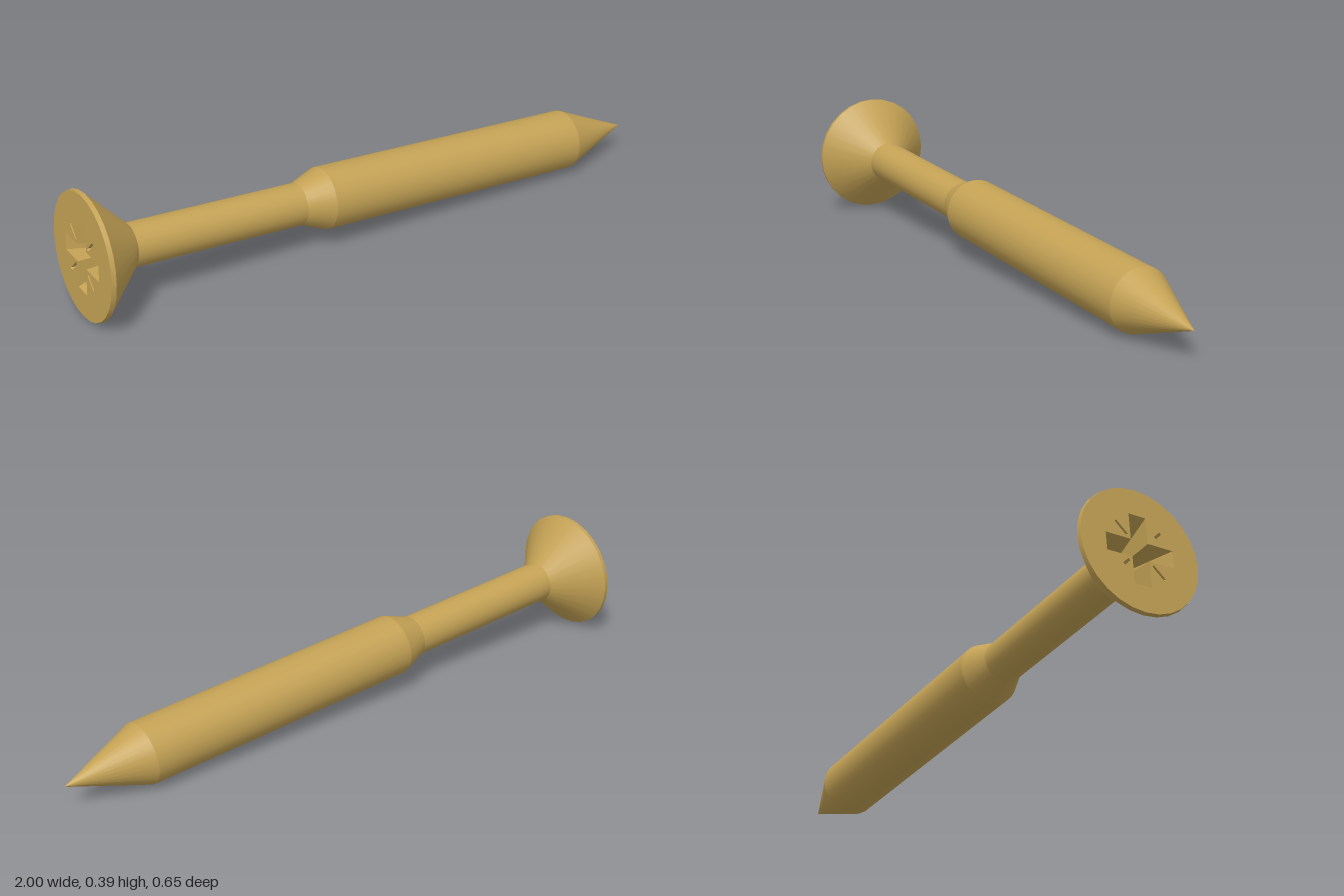
import * as THREE from 'three';

const SIDES = 28;
const brass = new THREE.MeshStandardMaterial({ color: 0xc4a255 });
brass.name = 'brass';

// Plus-shaped outline, counter-clockwise, with arm length l and half-width w
function crossOutline(l, w) {
  const arm = [[l, -w], [l, w], [w, w]];
  const points = [];
  for (let i = 0; i < 4; i++) {
    for (const [x, y] of arm) points.push(new THREE.Vector2(x, y).rotateAround(new THREE.Vector2(), i * Math.PI / 2));
  }
  return points;
}

// Thin diagonal marking between two arms
function slitOutline(i, shrink) {
  const angle = Math.PI / 4 + i * Math.PI / 2;
  const r0 = 0.055 + shrink, r1 = 0.105 - shrink, w = 0.004;
  return [[r0, -w], [r1, -w], [r1, w], [r0, w]].map(([x, y]) =>
    new THREE.Vector2(x, y).rotateAround(new THREE.Vector2(), angle));
}

// Inward-facing walls from an outline down to a smaller one, plus the floor
function pocket(name, top, bottom, depth) {
  const group = new THREE.Group();
  group.name = name;
  const pos = [];
  top.forEach((a, i) => {
    const j = (i + 1) % top.length;
    const b = top[j], c = bottom[i], d = bottom[j];
    pos.push(a.x, a.y, 0, b.x, b.y, 0, c.x, c.y, -depth);
    pos.push(b.x, b.y, 0, d.x, d.y, -depth, c.x, c.y, -depth);
  });
  const walls = new THREE.BufferGeometry();
  walls.setAttribute('position', new THREE.Float32BufferAttribute(pos, 3));
  walls.computeVertexNormals();
  const floor = new THREE.ShapeGeometry(new THREE.Shape(bottom)).translate(0, 0, -depth);
  group.add(new THREE.Mesh(walls, brass), new THREE.Mesh(floor, brass));
  group.children[0].name = name + 'Walls';
  group.children[1].name = name + 'Floor';
  return group;
}

export function createModel() {
  const model = new THREE.Group();
  model.name = 'screw';
  const screw = new THREE.Group();
  screw.name = 'screwBody';
  model.add(screw);

  // Turned sections along the axis: name, start, radius, end, radius
  const sections = [
    ['headRim', 0, 0.193, 0.014, 0.195],
    ['headCone', 0.014, 0.195, 0.146, 0.066],
    ['shank', 0.146, 0.066, 0.71, 0.066],
    ['shoulder', 0.71, 0.066, 0.795, 0.098],
    ['body', 0.795, 0.098, 1.748, 0.098],
    ['tip', 1.748, 0.098, 2.005, 0],
  ];
  for (const [name, y0, r0, y1, r1] of sections) {
    const profile = [new THREE.Vector2(r0, y0), new THREE.Vector2(r1, y1)];
    const mesh = new THREE.Mesh(new THREE.LatheGeometry(profile, SIDES), brass);
    mesh.name = name;
    screw.add(mesh);
  }

  // Flat head face with the driver recess cut into it
  const head = new THREE.Group();
  head.name = 'headFace';
  head.rotation.x = Math.PI / 2;
  screw.add(head);
  const disc = new THREE.Shape();
  for (let i = 0; i < SIDES; i++) {
    const a = i / SIDES * Math.PI * 2;
    disc[i ? 'lineTo' : 'moveTo'](0.193 * Math.cos(a), 0.193 * Math.sin(a));
  }
  const cross = crossOutline(0.11, 0.028);
  disc.holes.push(new THREE.Path(cross));
  head.add(pocket('crossRecess', cross, crossOutline(0.055, 0.02), 0.12));
  for (let i = 0; i < 4; i++) {
    const slit = slitOutline(i, 0);
    disc.holes.push(new THREE.Path(slit));
    head.add(pocket('diagonalMark', slit, slitOutline(i, 0.005), 0.02));
  }
  const face = new THREE.Mesh(new THREE.ShapeGeometry(disc), brass);
  face.name = 'facePlate';
  head.add(face);

  // Lay the screw down, from the head centre towards the tip
  const start = new THREE.Vector3(-0.958, 0.199, -0.137);
  const axis = new THREE.Vector3(0.998, 0.09, 0.279).sub(start).normalize();
  const up = new THREE.Vector3(0, 1, 0).addScaledVector(axis, -axis.y).normalize();
  const side = new THREE.Vector3().crossVectors(up, axis);
  screw.quaternion.setFromRotationMatrix(new THREE.Matrix4().makeBasis(up, axis, side));
  screw.position.copy(start);
  return model;
}
